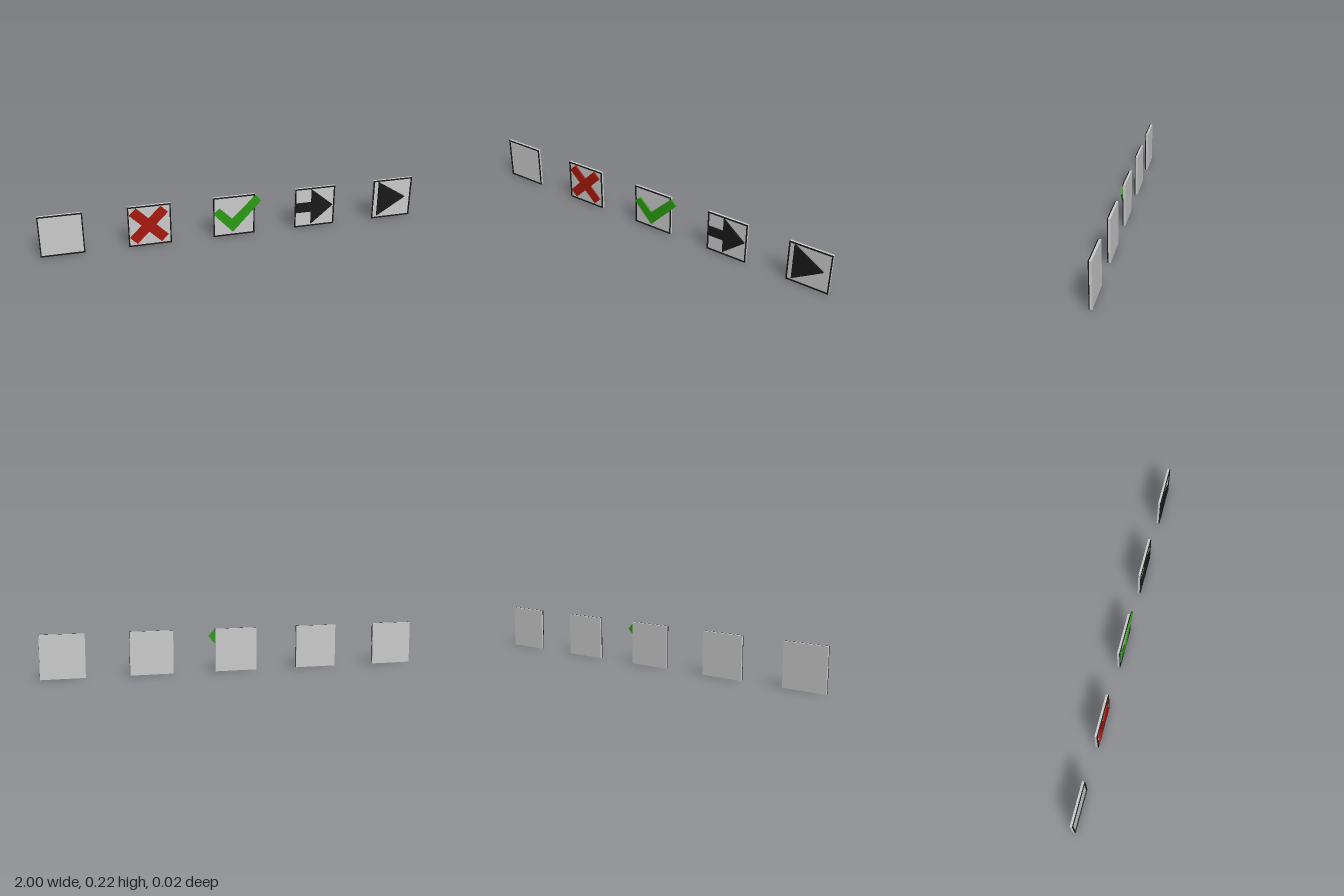
import * as THREE from 'three';

const material = (color) => new THREE.MeshStandardMaterial({ color, flatShading: true });

// Flat outline pushed out from zBack to zFront
function plate(name, points, holes, zBack, zFront, mat) {
  const toVec = ([x, y]) => new THREE.Vector2(x, y);
  const shape = new THREE.Shape(points.map(toVec));
  for (const h of holes) shape.holes.push(new THREE.Path(h.map(toVec)));
  const geo = new THREE.ExtrudeGeometry(shape, { depth: zFront - zBack, bevelEnabled: false });
  geo.translate(0, 0, zBack);
  const mesh = new THREE.Mesh(geo, mat);
  mesh.name = name;
  return mesh;
}

const square = (h) => [[-h, -h], [h, -h], [h, h], [-h, h]];

// Outline of two equal crossed bars, turned 45 degrees
function crossOutline(length, width) {
  const l = length / 2, w = width / 2, c = Math.SQRT1_2, points = [];
  for (let i = 0; i < 4; i++) {
    const a = (i * Math.PI) / 2;
    for (const [x, y] of [[l, -w], [l, w], [w, w]]) {
      const u = x * Math.cos(a) - y * Math.sin(a);
      const v = x * Math.sin(a) + y * Math.cos(a);
      points.push([(u - v) * c, (u + v) * c]);
    }
  }
  return points;
}

export function createModel() {
  const model = new THREE.Group();
  model.name = 'iconButtons';
  const grey = material(0xcccccc);
  const black = material(0x1a1a1a);
  const red = material(0xa8180e);
  const green = material(0x2c9c14);
  const half = 0.111;

  // Symbols, relative to the centre of their button
  const icons = [
    ['blank'],
    ['cross', crossOutline(0.229, 0.051), red],
    ['checkMark', [[-0.11, 0.02], [-0.008, -0.091], [0.145, 0.073], [0.115, 0.105], [-0.01, -0.018], [-0.077, 0.05]], green],
    ['arrow', [[-0.105, -0.025], [-0.02, -0.025], [-0.02, -0.097], [0.1, 0.003], [-0.02, 0.103], [-0.02, 0.029], [-0.105, 0.029]], black],
    ['playTriangle', [[-0.082, -0.095], [0.076, 0.003], [-0.082, 0.103]], black],
  ];

  icons.forEach(([name, outline, mat], i) => {
    const button = new THREE.Group();
    button.name = name + 'Button';
    button.position.set((i - 2) * 0.4445, half, 0);

    // Backing panel with a thin raised rim
    button.add(plate('panel', square(half), [], -0.009, 0.002, grey));
    button.add(plate('rim', square(half), [square(half - 0.006).reverse()], 0.002, 0.007, black));

    // Raised symbol
    if (outline) {
      const icon = plate(name, outline, [], 0.002, 0.01, mat);
      if (name === 'cross') icon.position.set(-0.004, 0.003, 0);
      button.add(icon);
    }
    model.add(button);
  });
  return model;
}
